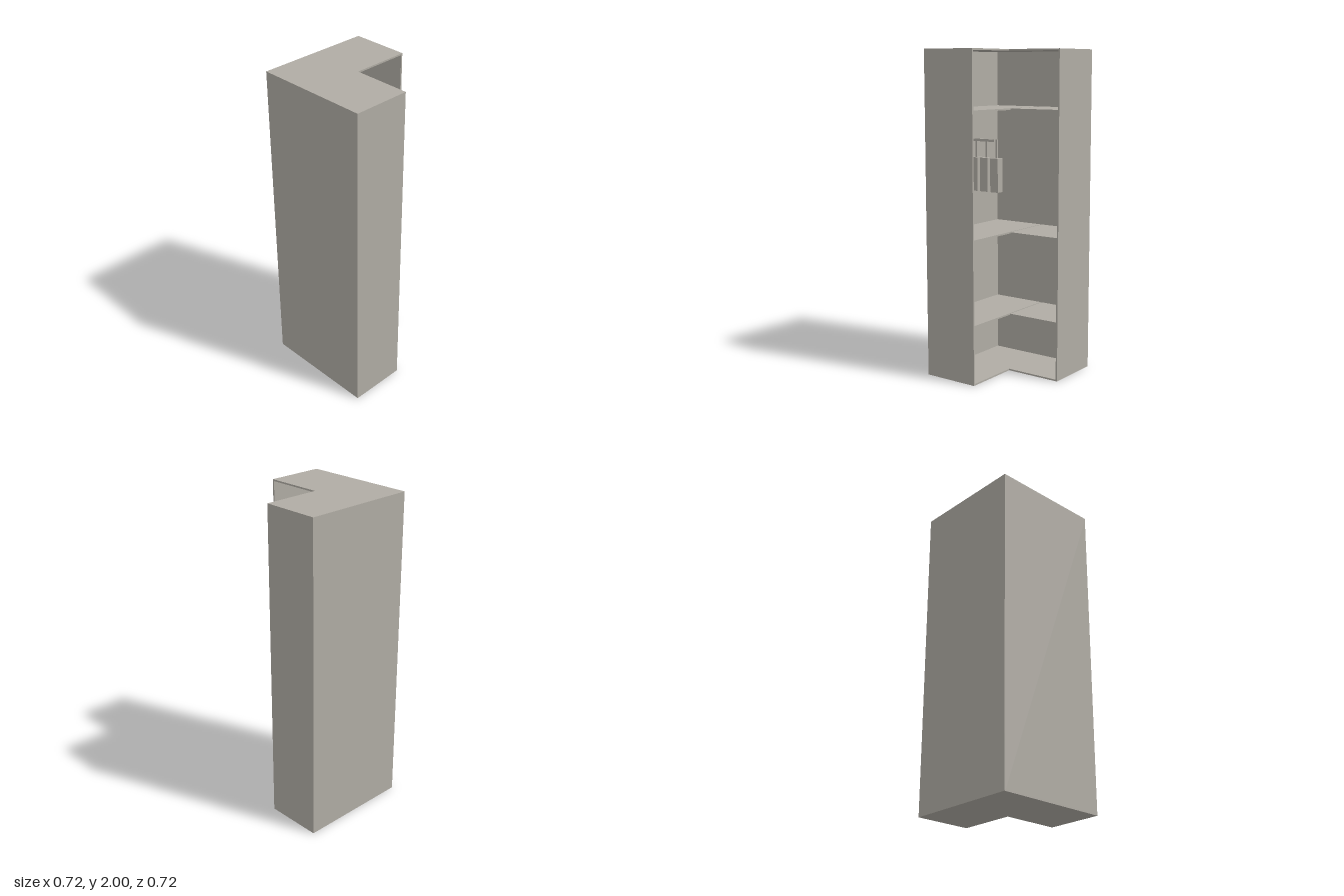
import * as THREE from 'three';

export function createModel() {
  const group = new THREE.Group();
  group.name = 'cornerWardrobe';
  const paint = new THREE.MeshStandardMaterial({ color: 0xb0aca4 });
  paint.name = 'warm grey';

  const R = 0.36; // half width of the footprint
  const T = 0.01; // panel thickness
  const I = R - T; // inner face of the walls

  // Box given by its minimum and maximum corners
  function box(name, [x0, y0, z0], [x1, y1, z1]) {
    const mesh = new THREE.Mesh(new THREE.BoxGeometry(x1 - x0, y1 - y0, z1 - z0), paint);
    mesh.position.set((x0 + x1) / 2, (y0 + y1) / 2, (z0 + z1) / 2);
    mesh.name = name;
    group.add(mesh);
  }

  // L-shaped top and bottom boards
  const outline = new THREE.Shape(
    [[-R, -R], [0, -R], [0, 0], [R, 0], [R, R], [-R, R]].map(([x, y]) => new THREE.Vector2(x, y))
  );
  for (const [name, y] of [['bottomBoard', 0], ['topBoard', 2 - T]]) {
    const geometry = new THREE.ExtrudeGeometry(outline, { depth: T, bevelEnabled: false });
    geometry.rotateX(-Math.PI / 2);
    const board = new THREE.Mesh(geometry, paint);
    board.position.y = y;
    board.name = name;
    group.add(board);
  }

  // Outer walls
  box('backWall', [-R, T, -R], [R, 2 - T, -I]);
  box('rightWall', [-R, T, -I], [-I, 2 - T, R]);
  box('frontEndWall', [-I, T, I], [0, 2 - T, R]);
  box('leftEndWall', [I, T, -I], [R, 2 - T, 0]);

  // Shelves in both wings, with a narrow joint between them
  for (const y of [0.36, 0.878, 1.637]) {
    box('longShelf', [-I, y, -I], [0, y + T, I]);
    box('shortShelf', [0.008, y, -I], [I, y + T, 0]);
  }

  // Clothes rail
  box('clothesRail', [-I, 1.452, 0.125], [-0.01, 1.467, 0.139]);

  // Hanging clothes with their hooks
  for (let i = 0; i < 3; i++) {
    const x = -0.094 - i * 0.079;
    box('garment', [x - 0.029, 1.13, -0.02], [x + 0.029, 1.34, 0.03]);
    box('hook', [x - 0.006, 1.34, -0.005], [x + 0.006, 1.455, 0.005]);
  }

  return group;
}
